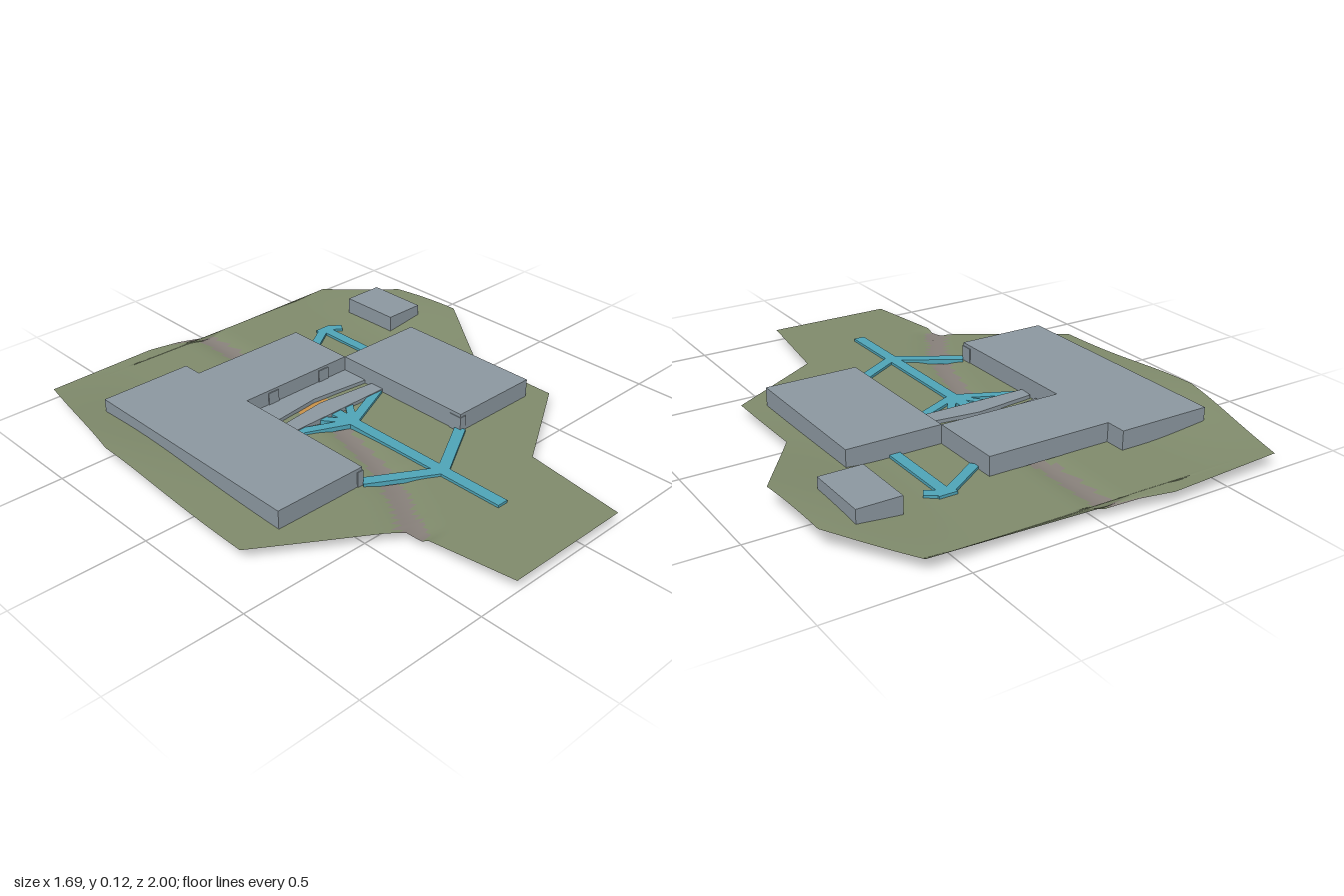
import * as THREE from 'three';

const mat = (name, color) => Object.assign(new THREE.MeshStandardMaterial({ color }), { name });

export function createModel() {
  const model = new THREE.Group();
  const concrete = mat('greyConcrete', 0x8c98a0);
  const water = mat('bluePath', 0x4fa5b8);
  const timber = mat('orangeCorridor', 0xc9924a);
  const grass = mat('oliveGround', 0x808b6c);
  const bed = mat('gullyStone', 0x87807a);
  grass.side = bed.side = THREE.DoubleSide;

  const add = (name, geometry, material) => {
    const m = new THREE.Mesh(geometry, material);
    m.name = name;
    model.add(m);
    return m;
  };
  // Axis-aligned block given by its extents
  const block = (name, x0, x1, y0, y1, z0, z1, material = concrete) => {
    const g = new THREE.BoxGeometry(x1 - x0, y1 - y0, z1 - z0);
    g.translate((x0 + x1) / 2, (y0 + y1) / 2, (z0 + z1) / 2);
    return add(name, g, material);
  };
  // Flat plan outline [x, z] raised from y0 to y1
  const slab = (name, plan, y0, y1, material = concrete) => {
    const shape = new THREE.Shape(plan.map(([x, z]) => new THREE.Vector2(x, -z)));
    const g = new THREE.ExtrudeGeometry(shape, { depth: y1 - y0, bevelEnabled: false });
    g.rotateX(-Math.PI / 2);
    g.translate(0, y0, 0);
    return add(name, g, material);
  };
  // Piecewise linear lookup in [key, value] pairs
  const lookup = (pairs, k) => {
    for (let i = 1; i < pairs.length; i++) {
      const [a, va] = pairs[i - 1], [b, vb] = pairs[i];
      if (k <= b) return va + (vb - va) * THREE.MathUtils.clamp((k - a) / (b - a), 0, 1);
    }
    return pairs[pairs.length - 1][1];
  };

  // Ground: rows across the site between its left and right boundary, as [z, x]
  const west = [[-1, -0.27], [-0.98, -0.73], [-0.44, -0.85], [0.3, -0.85], [0.59, -0.4], [1, -0.34]];
  const east = [[-1, -0.27], [-0.94, 0.03], [-0.935, 0.62], [-0.66, 0.82], [-0.35, 0.84],
    [-0.03, 0.62], [0.35, 0.62], [0.59, 0.23], [1, 0.17]];
  const gully = [[-1, -0.03], [-0.6, -0.04], [-0.3, -0.07], [0, -0.13], [0.2, -0.18], [0.4, -0.25], [0.65, -0.39]];
  const gullyDistance = (x, z) => z > 0.65 ? 1 : Math.abs(x - lookup(gully, z)) * (z > 0.3 ? 0.8 : 1);
  const height = (x, z) => {
    const rise = THREE.MathUtils.smoothstep(Math.abs(x), 0.4, 0.88);
    const hill = 0.042 * rise * Math.exp(-(((z + 0.45) / 0.42) ** 2));
    const dip = 0.014 * Math.exp(-((gullyDistance(x, z) / 0.05) ** 2));
    return 0.046 + hill - dip;
  };
  const rows = [...new Set([...west, ...east].map(p => p[0])
    .concat(Array.from({ length: 81 }, (_, i) => Math.round(-1000 + i * 25) / 1000)))].sort((a, b) => a - b);
  const NX = 72, pos = [], grassFaces = [], bedFaces = [];
  rows.forEach((z, r) => {
    const a = lookup(west, z), b = lookup(east, z);
    for (let i = 0; i <= NX; i++) {
      const x = a + (b - a) * i / NX;
      pos.push(x, height(x, z), z);
      if (r === 0 || i === 0) continue;
      const p = r * (NX + 1) + i, q = p - NX - 1;
      const faces = gullyDistance(x - (b - a) / NX / 2, z) < 0.034 ? bedFaces : grassFaces;
      faces.push(q - 1, p - 1, p, q - 1, p, q);
    }
  });
  const ground = new THREE.BufferGeometry();
  ground.setAttribute('position', new THREE.Float32BufferAttribute(pos, 3));
  ground.setIndex([...grassFaces, ...bedFaces]);
  ground.addGroup(0, grassFaces.length, 0);
  ground.addGroup(grassFaces.length, bedFaces.length, 1);
  ground.computeVertexNormals();
  add('ground', ground, [grass, bed]);

  // Upper storey wings and the detached pavilion
  block('leftWing', -0.69, -0.32, 0.045, 0.118, -0.68, 0.3);
  block('centreWing', -0.32, 0.17, 0.045, 0.118, -0.6, -0.31);
  block('rightWing', 0.17, 0.54, 0.045, 0.118, -0.31, 0.3);
  block('pavilion', 0.54, 0.705, 0.05, 0.118, -0.68, -0.43);

  // Doors
  for (const x of [-0.195, 0.055]) block('courtDoor', x - 0.024, x + 0.024, 0.055, 0.108, -0.312, -0.306);
  block('wingDoor', -0.343, -0.317, 0.045, 0.105, 0.25, 0.303);
  block('wingDoor', 0.167, 0.195, 0.045, 0.105, 0.25, 0.303);

  // Lower storey, cut by a curved corridor
  block('leftBasement', -0.69, -0.32, 0, 0.05, -0.47, -0.175);
  const curve = (offsets, shift) => offsets.map(d => [-0.07 + d, -0.205 + 0.47 * d * d + shift]);
  const inner = [-0.245, 0, 0.24];
  slab('courtBack', [[0.17, -0.31], [-0.32, -0.31], ...curve(inner, -0.018)], 0, 0.06);
  slab('courtFront', [[0.17, -0.1], [-0.32, -0.1], ...curve(inner, 0.018)], 0, 0.06);
  const outer = [-0.43, -0.245, 0, 0.24, 0.43];
  slab('corridor', [...curve(outer, -0.018), ...curve(outer, 0.018).reverse()], 0, 0.044, timber);
  block('rearExit', -0.515, -0.465, 0, 0.045, -0.49, -0.47, timber);

  // Paths, each a straight strip from one point to another
  const path = (x0, z0, x1, z1, w = 0.036) => {
    const g = new THREE.BoxGeometry(Math.hypot(x1 - x0, z1 - z0), 0.018, w);
    g.rotateY(-Math.atan2(z1 - z0, x1 - x0));
    g.translate((x0 + x1) / 2, 0.047, (z0 + z1) / 2);
    add('path', g, water);
  };
  path(-0.07, 0.71, -0.07, -0.1, 0.045);
  for (const s of [-1, 1]) {
    path(-0.07, 0.44, -0.07 + s * 0.245, 0.295, 0.042);
    path(-0.07, -0.01, -0.07 + s * 0.225, -0.112);
    path(-0.07, -0.01, -0.07 + s * 0.07, -0.105, 0.03);
  }
  path(0.355, -0.31, 0.355, -0.63, 0.042);
  path(0.17, -0.515, 0.34, -0.625);
  path(0.32, -0.628, 0.39, -0.628);
  path(0.37, -0.63, 0.42, -0.597);
  return model;
}
